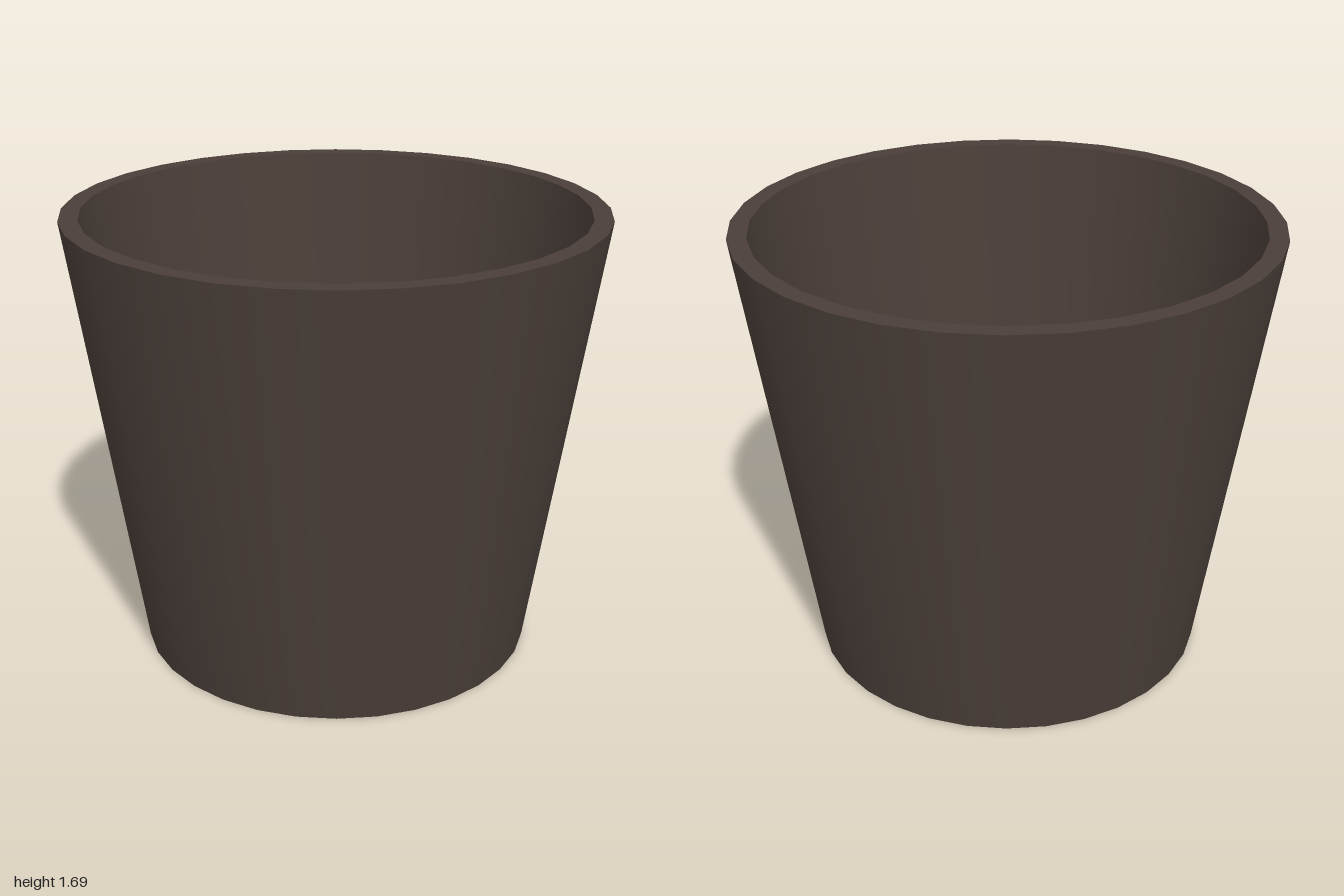
import * as THREE from 'three';
import { toCreasedNormals } from 'three/addons/utils/BufferGeometryUtils.js';

export function createModel() {
  const group = new THREE.Group();
  group.name = 'plantPot';

  // Closed profile: underside, outer wall, rim, inner wall, inside floor
  const profile = [
    [0, 0], [0.75, 0], [1, 1.69], [0.93, 1.69], [0.695, 0.1], [0, 0.1],
  ].map(([r, y]) => new THREE.Vector2(r, y));

  // Smooth around the walls, sharp at the rim and base edges
  const geometry = toCreasedNormals(new THREE.LatheGeometry(profile, 32), 0.6);
  const pot = new THREE.Mesh(geometry, new THREE.MeshStandardMaterial({ color: 0x4a3f39 }));
  pot.name = 'pot';
  group.add(pot);

  return group;
}
